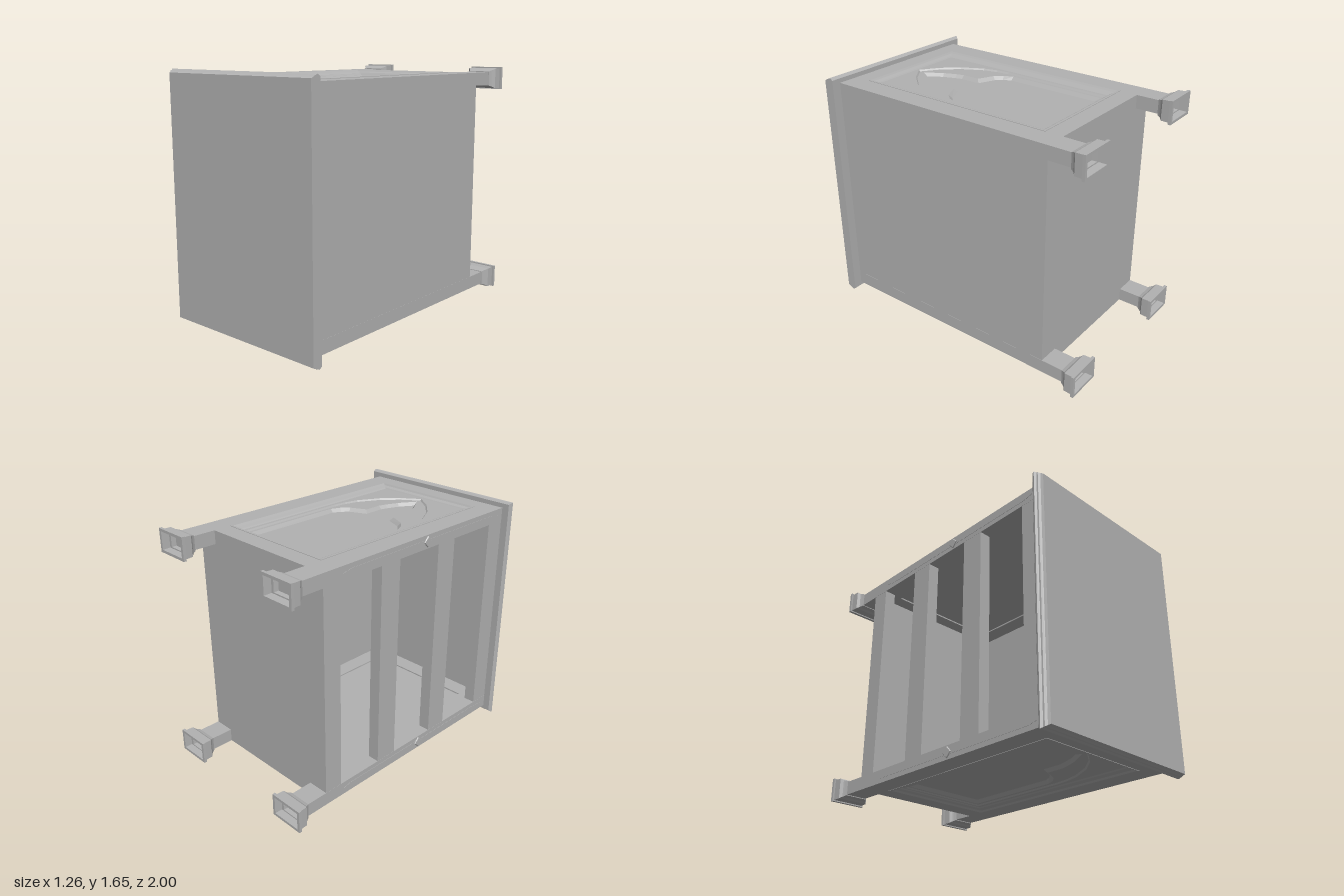
import * as THREE from 'three';

const wood = new THREE.MeshStandardMaterial({ color: 0xb2b2b2, side: THREE.DoubleSide, flatShading: true });
wood.name = 'greyWood';

const add = (parent, name, geo) => {
  const m = new THREE.Mesh(geo, wood);
  m.name = name;
  parent.add(m);
  return m;
};

// box given by its limits
const box = (parent, name, x0, x1, y0, y1, z0, z1) => add(parent, name,
  new THREE.BoxGeometry(x1 - x0, y1 - y0, z1 - z0).translate((x0 + x1) / 2, (y0 + y1) / 2, (z0 + z1) / 2));

// skin between closed loops of [x, y, z] points
function loft(loops) {
  const n = loops[0].length, idx = [];
  for (let k = 0; k < loops.length - 1; k++) {
    for (let i = 0; i < n; i++) {
      const j = (i + 1) % n, a = k * n, b = a + n;
      idx.push(a + i, a + j, b + j, a + i, b + j, b + i);
    }
  }
  const g = new THREE.BufferGeometry();
  g.setAttribute('position', new THREE.Float32BufferAttribute(loops.flat(2), 3));
  g.setIndex(idx);
  const flat = g.toNonIndexed();
  flat.computeVertexNormals();
  return flat;
}

const ring = (x0, x1, y0, y1, z) => [[x0, y0, z], [x1, y0, z], [x1, y1, z], [x0, y1, z]];

// outlines in (x, -z), counter-clockwise
const rect = (x, z0, z1) => [[-x, -z1], [x, -z1], [x, -z0], [-x, -z0]];
const mirrored = (tip, half) => [[0, -tip], ...half.map(([x, z]) => [x, -z]),
  ...half.slice().reverse().map(([x, z]) => [-x, -z])];
const lift = (pts, y) => pts.map(([x, v]) => [x, y, -v]);

// flat plate with a hole, facing up at height y
function plate(outer, hole, y) {
  const v = p => p.map(([a, b]) => new THREE.Vector2(a, b));
  const s = new THREE.Shape(v(outer));
  s.holes.push(new THREE.Path(v(hole)));
  return new THREE.ShapeGeometry(s).rotateX(-Math.PI / 2).translate(0, y, 0);
}

const arch = d => mirrored(0.755 - d * 1.2, [
  [0.12 - d * 0.5, 0.67 - d], [0.22 - d * 0.8, 0.56 - d * 0.8], [0.30 - d, 0.41 - d * 0.4],
  [0.325 - d, 0.31], [0.335 - d, 0.22], [0.335 - d, -0.55 + d]]);
const spade = d => mirrored(0.71 - d * 1.5, [
  [0.075 - d * 0.8, 0.59 - d * 0.3], [0.11 - d, 0.5], [0.125 - d, 0.45], [0.125 - d, 0.325 - d],
  [0.235 - d * 0.7, 0.275 - d], [0.28 - d, 0.225 - d * 0.6], [0.307 - d, 0.16], [0.307 - d, -0.53 + d]]);

// one panelled side with its two legs, at the upper end of the body
function panelledSide() {
  const g = new THREE.Group();
  for (const s of [-1, 1]) {
    const cx = s * 0.4925, cy = 1.565;
    box(g, 'leg', cx - 0.0735, cx + 0.0735, 1.52, 1.61, -0.92, 0.93);
    // hollow moulded foot: inside first, then the outer profile
    const profile = [[-0.91, 0.074, 0.045], [-0.95, 0.08, 0.048], [-0.95, 0.098, 0.056], [-1, 0.104, 0.06],
      [-1, 0.123, 0.078], [-0.98, 0.123, 0.078], [-0.98, 0.111, 0.07], [-0.925, 0.109, 0.069],
      [-0.91, 0.092, 0.058], [-0.9, 0.086, 0.055], [-0.885, 0.079, 0.05], [-0.885, 0.0735, 0.045]];
    add(g, 'foot', loft(profile.map(([z, hx, hy]) => ring(cx - hx, cx + hx, cy - hy, cy + hy, z))));
  }
  box(g, 'lowerSideRail', -0.42, 0.42, 1.52, 1.61, -0.73, -0.61);
  box(g, 'upperSideRail', -0.42, 0.42, 1.52, 1.61, 0.808, 0.93);
  box(g, 'panelFloor', -0.42, 0.42, 1.53, 1.555, -0.73, 0.93);

  // moulding around the panel
  const inner = rect(0.357, -0.56, 0.768);
  add(g, 'panelMoulding', loft([
    lift(rect(0.421, -0.611, 0.812), 1.605), lift(rect(0.421, -0.611, 0.812), 1.613),
    lift(rect(0.405, -0.595, 0.805), 1.613), lift(rect(0.395, -0.585, 0.797), 1.602),
    lift(rect(0.365, -0.566, 0.774), 1.594), lift(inner, 1.587)]));

  // pointed arch and the cusped recess inside it
  add(g, 'archSurround', plate(inner, arch(0), 1.587));
  add(g, 'archStep', loft([lift(arch(0), 1.587), lift(arch(0.008), 1.577)]));
  add(g, 'cuspedPanel', plate(arch(0.008), spade(0), 1.577));
  add(g, 'cuspedStep', loft([lift(spade(0), 1.577), lift(spade(0.02), 1.555)]));
  return g;
}

export function createModel() {
  const model = new THREE.Group();
  model.name = 'cabinet';

  const upper = panelledSide();
  upper.name = 'upperPanelledSide';
  const lower = panelledSide();
  lower.name = 'lowerPanelledSide';
  lower.rotation.z = Math.PI;
  lower.position.y = 1.65;
  model.add(upper, lower);

  // closed walls
  box(model, 'plainWall', 0.54, 0.565, 0.13, 1.52, -0.73, 0.93);
  box(model, 'endPanel', -0.49, 0.545, 0.12, 1.53, -0.73, -0.705);

  // open face with four cross rails
  for (const [z0, z1] of [[-0.73, -0.6], [-0.26, -0.1], [0.26, 0.42], [0.79, 0.93]]) {
    box(model, 'crossRail', -0.565, -0.485, 0.13, 1.52, z0, z1);
  }

  // slender inlays with a small diamond on the legs of the open face
  for (const y of [0.085, 1.565]) {
    const lens = new THREE.Shape([[-0.73, 0], [-0.66, -0.014], [0.66, -0.014], [0.73, 0], [0.66, 0.014], [-0.66, 0.014]]
      .map(p => new THREE.Vector2(...p)));
    const opt = { depth: 0.003, bevelEnabled: false };
    add(model, 'legInlay', new THREE.ExtrudeGeometry(lens, opt).rotateY(-Math.PI / 2).translate(-0.565, y, 0.15));
    add(model, 'legDiamond', new THREE.CylinderGeometry(0.032, 0.04, 0.007, 4)
      .rotateZ(Math.PI / 2).translate(-0.5685, y, 0.15));
  }

  // cabinet top, moulded on three edges and straight on the fourth
  const edge = [[0.93, 0.015, 0.014], [0.942, 0.004, 0.004], [0.955, 0, 0], [0.965, 0.012, 0.007],
    [0.975, 0.014, 0.009], [0.985, 0.026, 0.016], [1, 0.034, 0.022]];
  const rings = edge.map(([z, dx, dy]) => ring(-0.63 + dx, 0.628, dy, 1.654 - dy, z));
  const dot = z => ring(0, 0, 0.825, 0.825, z);
  add(model, 'cabinetTop', loft([dot(0.93), ...rings, dot(1)]));

  return model;
}
